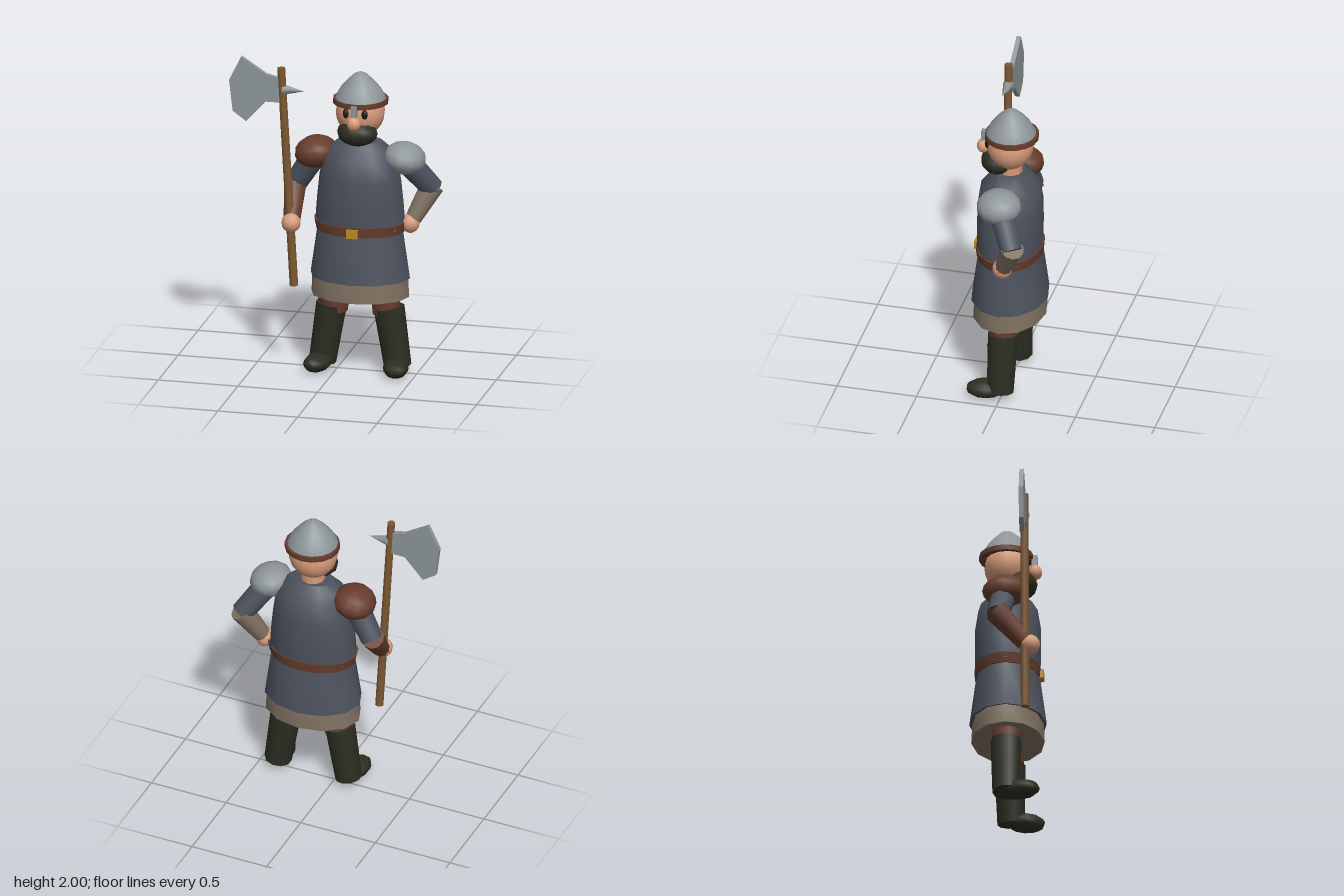
import * as THREE from 'three';
import { toCreasedNormals } from 'three/addons/utils/BufferGeometryUtils.js';

const mat = (name, color) => new THREE.MeshStandardMaterial({ name, color });
const V = (x, y, z) => new THREE.Vector3(x, y, z);

export function createModel() {
  const steel = mat('steel', 0x8e9699);
  const cloth = mat('slate cloth', 0x4c525e);
  const skin = mat('skin', 0xd89c7c);
  const leather = mat('brown leather', 0x673d2d);
  const linen = mat('tan linen', 0x807262);
  const dark = mat('dark boots and beard', 0x2c2e22);
  const wood = mat('wood', 0x7d5932);
  const gold = mat('gold', 0xb98a2b);
  const eyeBlack = mat('eye black', 0x191917);

  const model = new THREE.Group();
  model.name = 'axeGuard';
  const body = new THREE.Group(); // the figure stands beside the axe
  body.name = 'figure';
  body.position.x = 0.145;
  model.add(body);

  function add(parent, name, geometry, material) {
    const mesh = new THREE.Mesh(geometry, material);
    mesh.name = name;
    parent.add(mesh);
    return mesh;
  }

  // Closed elliptical loft: rings are [y, half width, half depth], bottom to top
  function loft(name, rings, material, segments = 12) {
    const first = rings[0], last = rings[rings.length - 1];
    const all = [[first[0], 0, 0], ...rings, [last[0], 0, 0]];
    const g = new THREE.LatheGeometry(all.map(r => new THREE.Vector2(1, r[0])), segments);
    const p = g.attributes.position;
    for (let i = 0; i < p.count; i++) {
      const [, rx, rz] = all[i % all.length];
      p.setX(i, p.getX(i) * rx);
      p.setZ(i, p.getZ(i) * rz);
    }
    return add(body, name, toCreasedNormals(g, 0.75), material);
  }

  // Tapered limb between two points
  function limb(parent, name, a, b, ra, rb, material, segments = 10) {
    const m = add(parent, name, new THREE.CylinderGeometry(rb, ra, a.distanceTo(b), segments), material);
    m.position.copy(a).lerp(b, 0.5);
    m.quaternion.setFromUnitVectors(V(0, 1, 0), b.clone().sub(a).normalize());
    return m;
  }

  function ball(name, c, r, material, w = 12, h = 8) {
    const m = add(body, name, new THREE.SphereGeometry(1, w, h), material);
    m.position.set(...c);
    m.scale.set(...r);
    return m;
  }

  function box(name, c, s, material) {
    const m = add(body, name, new THREE.BoxGeometry(...s), material);
    m.position.set(...c);
    return m;
  }

  // Clothing
  loft('underTunic', [[0.495, 0.307, 0.225], [0.63, 0.3, 0.218]], linen);
  loft('tunicSkirt', [[0.615, 0.312, 0.237], [0.95, 0.264, 0.192]], cloth);
  loft('tunicTorso', [
    [0.94, 0.284, 0.198], [1.1, 0.272, 0.203], [1.25, 0.256, 0.202],
    [1.38, 0.228, 0.182], [1.44, 0.185, 0.125], [1.482, 0.135, 0.09],
  ], cloth);
  loft('belt', [[0.912, 0.276, 0.201], [0.974, 0.29, 0.206]], leather, 16);
  box('buckle', [0, 0.938, 0.205], [0.07, 0.055, 0.03], gold);

  // Head
  limb(body, 'neck', V(0, 1.44, 0), V(0, 1.58, 0), 0.075, 0.075, skin);
  ball('head', [0, 1.665, 0], [0.152, 0.155, 0.144], skin, 16, 12);
  ball('beard', [0, 1.55, 0.075], [0.127, 0.083, 0.106], dark, 12, 8);
  ball('nose', [0, 1.633, 0.168], [0.044, 0.047, 0.042], skin, 10, 8);
  for (const s of [-1, 1]) ball('eye', [s * 0.058, 1.683, 0.126], [0.02, 0.031, 0.02], eyeBlack, 10, 8);

  // Helmet
  loft('helmetBand', [[1.718, 0.17, 0.166], [1.75, 0.17, 0.166]], leather, 16).position.z = -0.01;
  loft('helmetDome', [
    [1.74, 0.16, 0.157], [1.76, 0.152, 0.15], [1.812, 0.123, 0.122], [1.865, 0.078, 0.078],
    [1.9, 0.04, 0.04], [1.918, 0.002, 0.002],
  ], steel, 16).position.z = -0.005;
  box('noseGuard', [0, 1.7, 0.163], [0.034, 0.085, 0.036], steel);

  // Legs
  for (const s of [-1, 1]) {
    limb(body, 'trouserLeg', V(s * 0.165, 0.38, 0), V(s * 0.15, 0.6, 0), 0.084, 0.094, leather);
    limb(body, 'bootShaft', V(s * 0.236, 0.05, 0.004), V(s * 0.18, 0.422, 0), 0.084, 0.095, dark);
    ball('bootFoot', [s * 0.245, 0.063, 0.092], [0.079, 0.058, 0.122], dark, 10, 8).rotation.y = s * 0.22;
  }

  // Shoulder guards
  ball('leftShoulderGuard', [0.28, 1.385, 0], [0.132, 0.098, 0.14], steel, 12, 8).rotation.z = -0.2;
  ball('rightShoulderGuard', [-0.28, 1.385, 0], [0.132, 0.098, 0.14], leather, 12, 8).rotation.z = 0.2;

  // Left arm, hand on hip
  limb(body, 'leftUpperArm', V(0.27, 1.39, 0), V(0.425, 1.165, -0.115), 0.08, 0.07, cloth);
  limb(body, 'leftForearm', V(0.425, 1.185, -0.12), V(0.322, 0.985, -0.04), 0.074, 0.052, linen);
  ball('leftHand', [0.308, 0.962, -0.027], [0.057, 0.062, 0.062], skin, 12, 8);

  // Right arm, holding the shaft
  limb(body, 'rightUpperArm', V(-0.27, 1.39, 0), V(-0.412, 1.165, -0.035), 0.08, 0.07, cloth);
  limb(body, 'rightForearm', V(-0.418, 1.185, -0.045), V(-0.398, 0.985, 0.125), 0.074, 0.054, leather);
  ball('rightHand', [-0.395, 0.967, 0.162], [0.06, 0.06, 0.06], skin, 12, 8);

  // Long axe
  const axe = new THREE.Group();
  axe.name = 'axe';
  axe.position.z = 0.13;
  model.add(axe);
  limb(axe, 'axeShaft', V(-0.24, 0.556, 0), V(-0.32, 1.945, 0), 0.027, 0.025, wood, 8);
  const outline = [
    [-0.57, 2.0], [-0.645, 1.845], [-0.622, 1.65], [-0.537, 1.59],
    [-0.415, 1.725], [-0.305, 1.725], [-0.31, 1.875], [-0.415, 1.9],
  ].map(p => new THREE.Vector2(...p));
  const blade = new THREE.ExtrudeGeometry(new THREE.Shape(outline), { depth: 0.028, bevelEnabled: false });
  add(axe, 'axeBlade', blade.translate(0, 0, -0.014), steel);
  limb(axe, 'axeSpike', V(-0.31, 1.807, 0), V(-0.172, 1.805, 0), 0.034, 0, steel, 8);

  return model;
}
